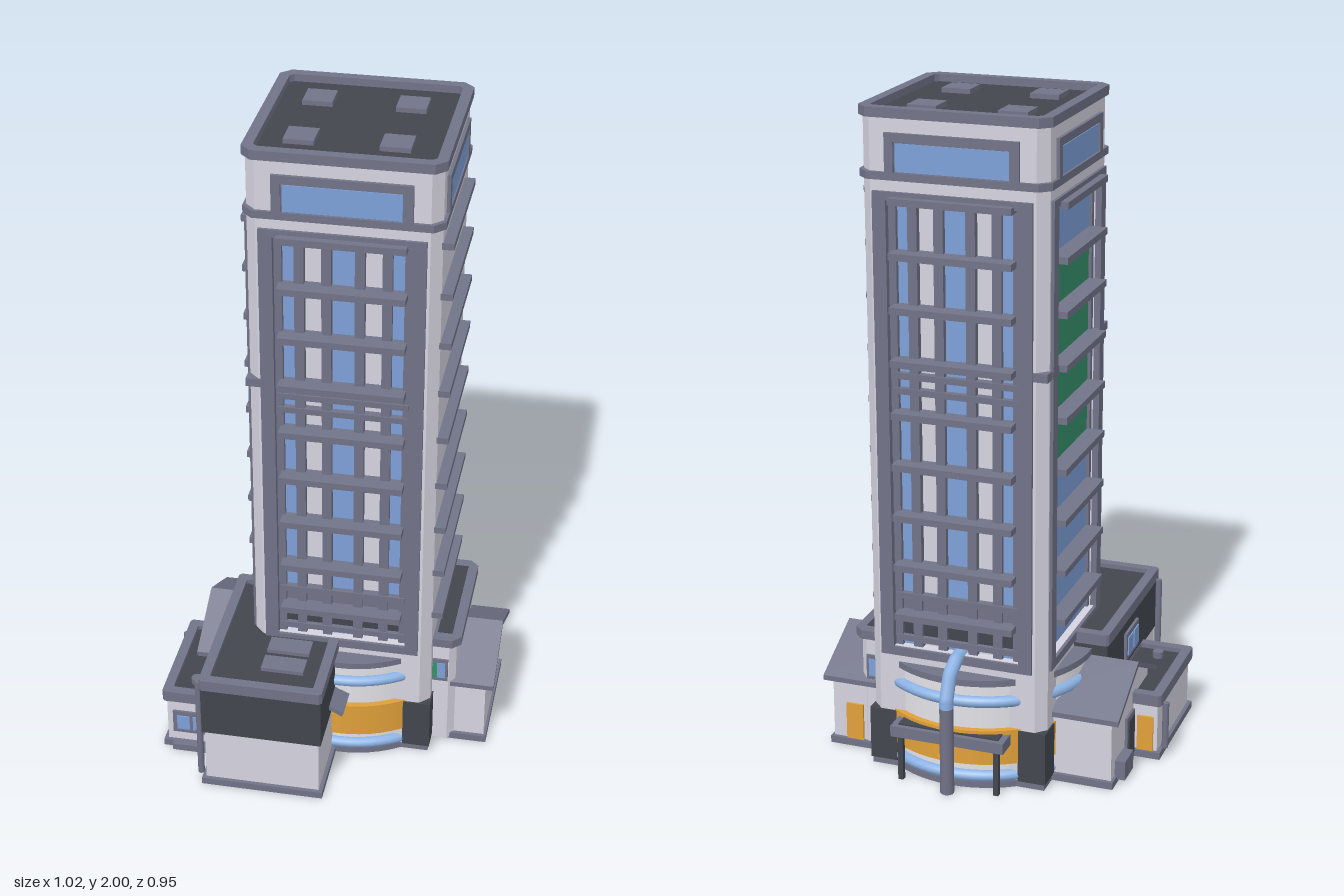
import * as THREE from 'three';

const mat = (name, color) => {
  const m = new THREE.MeshStandardMaterial({ color });
  m.name = name;
  return m;
};

export function createModel() {
  const wall = mat('pale wall', 0xd5d3df), trim = mat('slate trim', 0x717388);
  const dark = mat('charcoal', 0x42464d), glass = mat('blue glass', 0x7da0d8);
  const pipeBlue = mat('light blue pipe', 0x8cb2e4), orange = mat('orange', 0xe0a03a);
  const green = mat('green panel', 0x37906a), white = mat('white wall', 0xe6e6ec);
  const CX = 0.048, CZ = -0.08, H = 0.272;

  const model = new THREE.Group();
  model.name = 'towerBuilding';
  const group = (name, parent = model) => {
    const g = new THREE.Group();
    g.name = name;
    parent.add(g);
    return g;
  };
  const mesh = (parent, name, geo, m) => {
    const o = new THREE.Mesh(geo, m);
    o.name = name;
    parent.add(o);
    return o;
  };
  // box given by its limits on each axis
  const box = (p, name, m, x0, x1, y0, y1, z0, z1) => {
    const o = mesh(p, name, new THREE.BoxGeometry(x1 - x0, y1 - y0, z1 - z0), m);
    o.position.set((x0 + x1) / 2, (y0 + y1) / 2, (z0 + z1) / 2);
    return o;
  };
  // vertical prism from [x, z] outlines; the hole runs the opposite way round
  const prism = (p, name, m, pts, y0, y1, hole) => {
    const v = a => a.map(([x, z]) => new THREE.Vector2(x, -z));
    const s = new THREE.Shape(v(pts));
    if (hole) s.holes.push(new THREE.Path(v(hole).reverse()));
    const g = new THREE.ExtrudeGeometry(s, { depth: y1 - y0, bevelEnabled: false });
    g.rotateX(-Math.PI / 2).translate(0, y0, 0);
    return mesh(p, name, g, m);
  };
  const oct = (x0, x1, z0, z1, c) => [[x0 + c, z0], [x1 - c, z0], [x1, z0 + c], [x1, z1 - c],
    [x1 - c, z1], [x0 + c, z1], [x0, z1 - c], [x0, z0 + c]];
  const cyl = (p, name, m, r, x, y0, y1, z, n = 48) => {
    const o = mesh(p, name, new THREE.CylinderGeometry(r, r, y1 - y0, n), m);
    o.position.set(x, (y0 + y1) / 2, z);
    return o;
  };

  // ---- Tower ----
  const tower = group('tower');
  tower.position.set(CX, 0, CZ);
  const full = h => oct(-h, h, -h, h, 0.03);
  const n = 0.195, d = H - 0.03, c = H - 0.03;
  // shaft outline: recessed on front, back and the -x side
  const notched = [[-c, -H], [-n, -H], [-n, -d], [n, -d], [n, -H], [c, -H], [H, -c], [H, c], [c, H],
    [n, H], [n, d], [-n, d], [-n, H], [-c, H], [-H, c], [-H, n], [-d, n], [-d, -n], [-H, -n], [-H, -c]];
  prism(tower, 'towerFoot', wall, full(H), 0.006, 0.4);
  prism(tower, 'towerShaft', wall, notched, 0.4, 1.765);
  prism(tower, 'towerCrown', wall, full(H), 1.765, 1.972);
  prism(tower, 'crownBelt', trim, full(0.281), 1.8, 1.822);
  prism(tower, 'parapet', trim, full(0.281), 1.972, 2, oct(-0.25, 0.25, -0.25, 0.25, 0.012));
  prism(tower, 'roofDeck', dark, full(0.262), 1.965, 1.978);
  for (const x of [-0.14, 0.126]) for (const z of [-0.132, 0.132])
    box(tower, 'roofHatch', trim, x - 0.043, x + 0.043, 1.975, 1.992, z - 0.043, z + 0.043);
  for (const sx of [-1, 1]) for (const sz of [-1, 1]) {
    const o = box(tower, 'cornerCladding', dark, -0.0425, 0.0425, 0.02, 0.185, -0.0425, 0.0425);
    o.position.set(sx * 0.234, 0.1025, sz * 0.234);
  }
  for (const s of [-1, 1])
    box(tower, 'cornerBelt', trim, -0.278, -0.22, 1.265, 1.29, Math.min(s * 0.22, s * 0.278), Math.max(s * 0.22, s * 0.278));

  // one facade per side, built facing +z and turned into place
  ['front', 'plain', 'back', 'panel'].forEach((kind, k) => {
    const f = group(kind + 'Facade', tower);
    f.rotation.y = k * Math.PI / 2;
    const plain = k === 1;
    // crown window
    box(f, 'crownFrameTop', trim, -0.195, 0.195, 1.908, 1.932, H - 0.01, H + 0.01);
    for (const s of [-1, 1])
      box(f, 'crownFrameSide', trim, s * 0.182 - 0.013, s * 0.182 + 0.013, 1.82, 1.91, H - 0.01, H + 0.01);
    box(f, 'crownSurround', trim, -0.17, 0.17, 1.82, 1.908, H - 0.01, H + 0.002);
    box(f, 'crownGlass', glass, -0.165, 0.165, 1.824, 1.903, H, H + 0.005);
    // floor slats
    const w = plain ? 0.21 : 0.181, mid = plain ? -0.035 : 0;
    for (let i = 0; i < 9; i++) {
      const y = 0.505 + i * 0.155;
      box(f, 'floorSlat', trim, mid - w, mid + w, y - 0.01, y + 0.01, plain ? H - 0.01 : d, 0.303);
    }
    if (plain) return;
    // frame round the recess
    for (const s of [-1, 1])
      box(f, 'frameStrip', trim, s * 0.214 - 0.02, s * 0.214 + 0.02, 0.385, 1.76, H - 0.01, H + 0.009);
    box(f, 'frameTop', trim, -0.234, 0.234, 1.745, 1.768, H - 0.02, H + 0.009);
    box(f, 'frameFoot', trim, -0.234, 0.234, 0.372, 0.398, H - 0.02, H + 0.009);
    if (kind === 'panel') {
      const bands = [[0.4, 0.93, glass], [0.93, 0.97, dark], [0.97, 1.59, green], [1.59, 1.75, glass]];
      for (const [y0, y1, m] of bands) box(f, 'largePane', m, -0.19, 0.19, y0, y1, d - 0.002, d + 0.007);
      for (const s of [-1, 1]) box(f, 'paneEdge', trim, s * 0.186 - 0.009, s * 0.186 + 0.009, 0.4, 1.75, d, d + 0.016);
      box(f, 'middleBelt', trim, -0.235, 0.235, 1.265, 1.29, d, H + 0.008);
    } else {
      for (const x of [-0.156, 0, 0.156]) box(f, 'glassStrip', glass, x - 0.032, x + 0.032, 0.4, 1.75, d - 0.002, d + 0.006);
      for (const x of [-0.186, -0.124, -0.047, 0.047, 0.124, 0.186])
        box(f, 'mullion', trim, x - 0.014, x + 0.014, 0.4, 1.75, d, d + 0.02);
      box(f, 'lowerPanel', dark, -0.19, 0.19, 0.43, 0.495, d, d + 0.01);
      box(f, 'sillPanel', trim, -0.19, 0.19, 0.515, 0.56, d, d + 0.01);
      for (const y of [0.425, 0.56, 1.19, 1.235]) box(f, 'crossBar', trim, -0.19, 0.19, y - 0.009, y + 0.009, d, d + 0.024);
    }
  });

  // ---- Round drum through the tower base ----
  const drum = group('drum');
  cyl(drum, 'drumUnderside', trim, 0.33, CX, 0, 0.02, CZ, 64);
  cyl(drum, 'drumWall', white, 0.318, CX, 0.015, 0.34, CZ, 64);
  cyl(drum, 'orangeBand', orange, 0.337, CX, 0.08, 0.19, CZ, 64);
  cyl(drum, 'drumCap', trim, 0.328, CX, 0.328, 0.348, CZ, 64);
  for (const y of [0.036, 0.277]) {
    const ring = mesh(drum, 'blueRing', new THREE.TorusGeometry(0.32, 0.018, 10, 64), pipeBlue);
    ring.rotation.x = Math.PI / 2;
    ring.position.set(CX, y, CZ);
  }
  box(drum, 'towerUnderside', trim, CX - H, CX + H, 0, 0.02, CZ - H, CZ + H);

  // flat-roofed block with plinth, parapet and sunken roof
  const block = (name, x0, x1, z0, z1, top, split) => {
    const g = group(name), i = 0.012, r = 0.03;
    box(g, 'plinth', trim, x0, x1, 0, 0.022, z0, z1);
    box(g, 'wall', wall, x0 + i, x1 - i, 0.02, split || top - 0.03, z0 + i, z1 - i);
    if (split) box(g, 'upperWall', dark, x0 + 0.004, x1 - 0.004, split, top - 0.03, z0 + 0.004, z1 - 0.004);
    box(g, 'roof', dark, x0 + i, x1 - i, top - 0.03, top - 0.014, z0 + i, z1 - i);
    prism(g, 'parapet', trim, oct(x0, x1, z0, z1, 0.008), top - 0.036, top,
      oct(x0 + r, x1 - r, z0 + r, z1 - r, 0.004));
    return g;
  };

  // ---- Front block ----
  const front = block('frontBlock', -0.333, 0.04, -0.08, 0.473, 0.398, 0.2);
  for (const z of [0.252, 0.342]) box(front, 'roofHatch', trim, -0.164, -0.035, 0.38, 0.396, z - 0.032, z + 0.032);
  cyl(front, 'drainPipe', trim, 0.01, -0.342, 0.02, 0.37, 0.44, 10);
  const awning = box(front, 'awning', trim, 0.03, 0.08, 0.222, 0.236, 0.22, 0.333);
  awning.rotation.z = -0.45;
  box(front, 'windowFrame', trim, -0.338, -0.328, 0.235, 0.325, 0.1, 0.23);
  for (const z of [0.135, 0.195]) box(front, 'windowGlass', glass, -0.342, -0.335, 0.25, 0.31, z - 0.024, z + 0.024);

  // ---- Low side block ----
  const low = block('lowBlock', -0.492, -0.3, -0.055, 0.318, 0.212);
  box(low, 'frontStep', trim, -0.46, -0.33, 0, 0.022, 0.3, 0.335);
  box(low, 'windowFrame', trim, -0.462, -0.342, 0.055, 0.135, 0.3, 0.313);
  for (const x of [-0.428, -0.378]) box(low, 'windowGlass', glass, x - 0.02, x + 0.02, 0.07, 0.12, 0.308, 0.317);
  cyl(low, 'roofVent', trim, 0.017, -0.4, 0.19, 0.218, 0.238, 10);
  cyl(low, 'drainPipe', trim, 0.01, -0.5, 0.03, 0.18, -0.023, 10);
  box(low, 'sideDoor', orange, -0.468, -0.418, 0.022, 0.135, -0.049, -0.041);

  // ---- Gabled wings on both sides ----
  const alongX = (p, name, m, pts, x0, x1) => {
    const s = new THREE.Shape(pts.map(([z, y]) => new THREE.Vector2(z + CZ, y)));
    const g = new THREE.ExtrudeGeometry(s, { depth: x1 - x0, bevelEnabled: false });
    g.rotateY(-Math.PI / 2).translate(x1, 0, 0);
    return mesh(p, name, g, m);
  };
  const wing = (name, x0, x1, r0, r1) => {
    const g = group(name);
    box(g, 'plinth', trim, x0, x1, 0, 0.022, CZ - 0.2, CZ + 0.2);
    alongX(g, 'gableWall', wall, [[-0.188, 0.02], [0.188, 0.02], [0.188, 0.22], [0, 0.314], [-0.188, 0.22]], x0 + 0.008, x1 - 0.008);
    alongX(g, 'gableRoof', trim, [[-0.203, 0.21], [0, 0.313], [0.203, 0.21], [0.203, 0.226], [0, 0.329], [-0.203, 0.226]], r0, r1);
    return g;
  };
  const leftWing = wing('leftWing', 0.25, 0.492, 0.25, 0.51);
  box(leftWing, 'orangeDoor', orange, 0.385, 0.44, 0.022, 0.14, -0.275, -0.266);
  const rightWing = wing('rightWing', -0.412, -0.1, -0.428, -0.1);
  box(rightWing, 'doorFrame', trim, -0.412, -0.4, 0.022, 0.16, -0.13, -0.055);
  box(rightWing, 'door', dark, -0.416, -0.408, 0.022, 0.148, -0.12, -0.065);
  box(rightWing, 'utilityBox', trim, -0.436, -0.4, 0.01, 0.07, -0.23, -0.145);

  // ---- Raised link between tower and left wing ----
  const link = group('towerLink');
  prism(link, 'linkWall', wall, oct(0.28, 0.39, -0.272, 0.128, 0.02), 0.006, 0.37);
  prism(link, 'linkCornice', trim, oct(0.28, 0.405, -0.287, 0.142, 0.025), 0.37, 0.398);
  box(link, 'linkRoof', dark, 0.33, 0.375, 0.392, 0.401, -0.25, 0.105);
  for (const z of [-0.274, 0.13]) {
    box(link, 'windowFrame', trim, 0.312, 0.368, 0.235, 0.315, z - 0.004, z + 0.004);
    box(link, 'windowGlass', glass, 0.335, 0.36, 0.247, 0.303, z - 0.006, z + 0.006);
    box(link, 'greenPane', green, 0.32, 0.335, 0.247, 0.303, z - 0.006, z + 0.006);
  }

  // ---- Rear canopy ----
  const canopy = group('rearCanopy');
  box(canopy, 'canopySlab', trim, -0.125, 0.228, 0.142, 0.176, -0.435, -0.36);
  box(canopy, 'canopyTop', dark, -0.105, 0.208, 0.172, 0.18, -0.42, -0.36);
  for (const x of [-0.1, 0.2]) box(canopy, 'canopyPost', dark, x - 0.008, x + 0.008, 0, 0.145, -0.428, -0.412);

  // ---- Rear pipe ----
  const pipe = group('rearPipe');
  const path = new THREE.CurvePath();
  const pts = [[0.395, -0.33], [0.392, -0.375], [0.365, -0.425], [0.3, -0.452], [0.27, -0.453]].map(([y, z]) => new THREE.Vector3(0.042, y, z));
  for (let i = 0; i < 4; i++) path.add(new THREE.LineCurve3(pts[i], pts[i + 1]));
  mesh(pipe, 'bentPipe', new THREE.TubeGeometry(path, 24, 0.021, 12), pipeBlue);
  cyl(pipe, 'downPipe', trim, 0.021, 0.042, 0, 0.275, -0.453, 12);

  return model;
}
